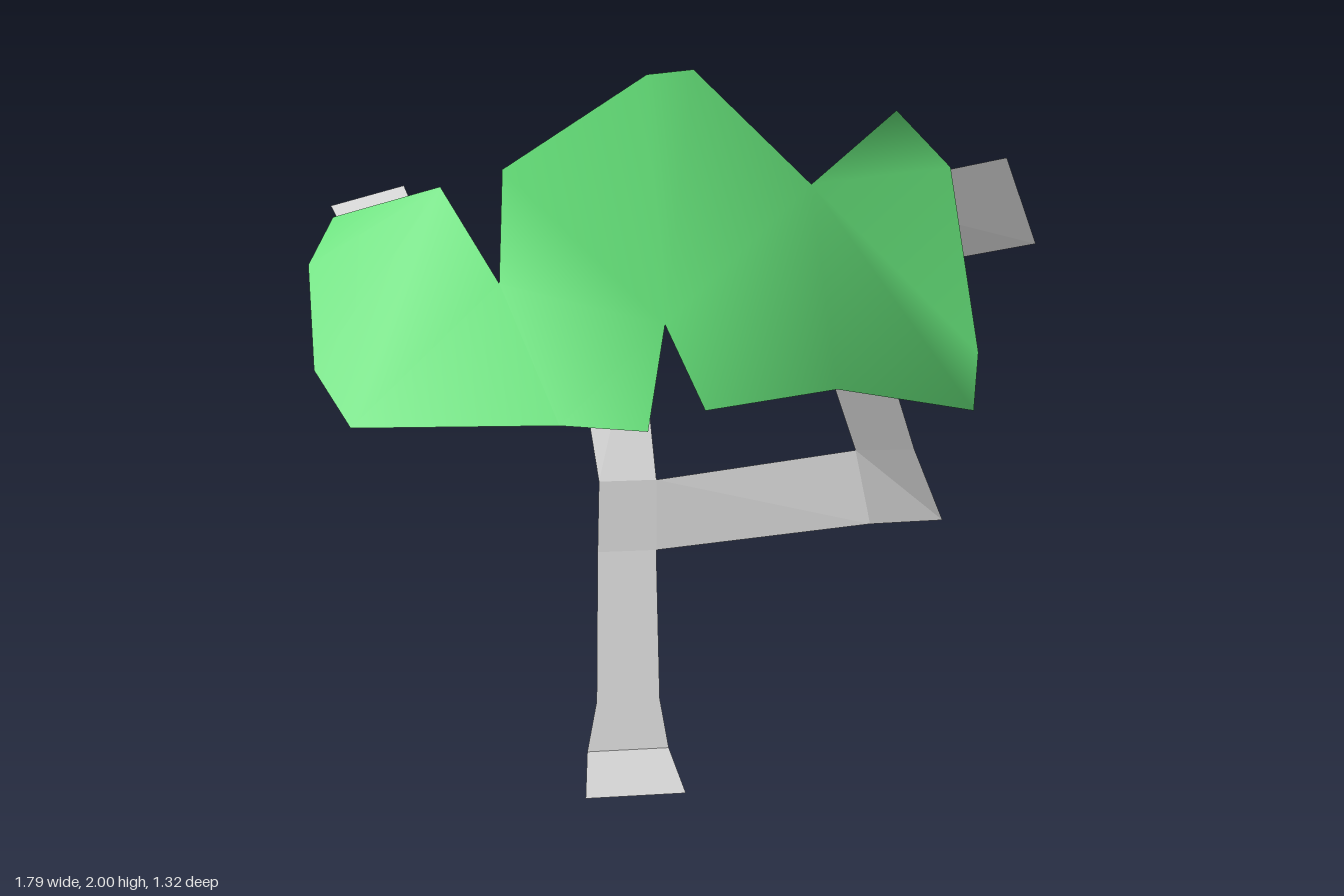
import * as THREE from 'three';

const wood = new THREE.MeshStandardMaterial({ color: 0xcccccc, side: THREE.DoubleSide, flatShading: true });
const leaf = new THREE.MeshStandardMaterial({ color: 0x62dc76, side: THREE.DoubleSide });

function sheet(name, points, faces, material) {
  const geo = new THREE.BufferGeometry();
  geo.setAttribute('position', new THREE.Float32BufferAttribute(points.flat(), 3));
  geo.setIndex(faces.flat());
  geo.computeVertexNormals();
  const mesh = new THREE.Mesh(geo, material);
  mesh.name = name;
  return mesh;
}

// Folded ribbon: each rung is a pair of edge points; a shared point makes a triangle
function ribbon(name, rungs) {
  const same = (p, q) => p.every((v, i) => v === q[i]);
  const faces = [];
  for (let i = 0; i < rungs.length - 1; i++) {
    const a = 2 * i;
    if (!same(rungs[i][1], rungs[i + 1][1])) faces.push([a, a + 1, a + 3]);
    if (!same(rungs[i][0], rungs[i + 1][0])) faces.push([a, a + 3, a + 2]);
  }
  return sheet(name, rungs.flat(), faces, wood);
}

export function createModel() {
  const tree = new THREE.Group();
  tree.name = 'foldedTree';

  // Trunk with the foot flap folded forward
  const topLeft = [-0.155, 1.265, -0.305], topRight = [0.03, 1.33, -0.305];
  tree.add(ribbon('trunk', [
    [[-0.17, 0, 0.085], [0.115, 0, 0.085]],
    [[-0.145, 0.05, -0.12], [0.095, 0.05, -0.12]],
    [[-0.115, 0.2, -0.135], [0.07, 0.2, -0.135]],
    [[-0.105, 0.64, -0.18], [0.065, 0.64, -0.18]],
    [[-0.1, 0.85, -0.18], [0.065, 0.85, -0.18]],
    [topLeft, topRight],
  ]));

  // Right branch: over the trunk top, down, then up to its tip
  const dip = [-0.655, 1.155, -0.265], valley = [-0.5, 1.36, -0.35];
  tree.add(ribbon('rightBranch', [
    [topLeft, topRight],
    [topLeft, [-0.03, 1.472, -0.39]],
    [dip, valley],
    [[-0.69, 1.32, -0.37], valley],
    [[-0.84, 1.59, -0.645], [-0.625, 1.645, -0.66]],
  ]));

  // Left branch: out from the trunk, up, then out again
  const elbow = [0.56, 1.48, 0.155];
  tree.add(ribbon('leftBranchLower', [
    [[0.065, 0.85, -0.18], [0.065, 0.64, -0.18]],
    [[0.59, 0.975, 0.035], [0.63, 0.77, 0.065]],
    [[0.715, 1.01, 0.18], [0.79, 0.82, 0.215]],
  ]));
  tree.add(ribbon('leftBranchUpper', [
    [[0.59, 0.975, 0.035], [0.715, 1.01, 0.18]],
    [[0.42, 1.465, 0], elbow],
    [[0.33, 1.66, 0.005], elbow],
    [[0.47, 1.70, 0.19], elbow],
    [[0.805, 1.82, 0.555], [0.895, 1.61, 0.535]],
  ]));

  // Crown: one softly shaded leaf sheet, outline clockwise from the far right tip
  tree.add(sheet('crown', [
    [-0.9, 1.45, -0.42], [-0.83, 1.57, -0.535], [-0.52, 1.65, -0.565], [-0.365, 1.4, -0.33],
    [-0.34, 1.7, -0.538], [0.05, 1.98, -0.285], [0.155, 2, -0.125], [0.38, 1.74, 0.34],
    [0.525, 1.935, 0.58], [0.665, 1.8, 0.565], [0.725, 1.37, 0.655], [0.73, 1.22, 0.625],
    [0.5, 1.18, 0.175], [0.148, 1.13, 0.165], [0.065, 1.33, -0.015], [0.01, 1.05, 0.055],
    [-0.22, 1.045, -0.065], [-0.79, 1.035, -0.15], [-0.885, 1.19, -0.2],
  ], [
    [2, 1, 0], [18, 2, 0], [18, 17, 2], [17, 3, 2], [17, 16, 3], [16, 14, 3],
    [16, 15, 14], [14, 4, 3], [14, 5, 4], [14, 6, 5], [14, 7, 6], [14, 13, 7],
    [13, 12, 7], [12, 11, 7], [11, 10, 7], [10, 9, 7], [9, 8, 7],
  ], leaf));

  return tree;
}
